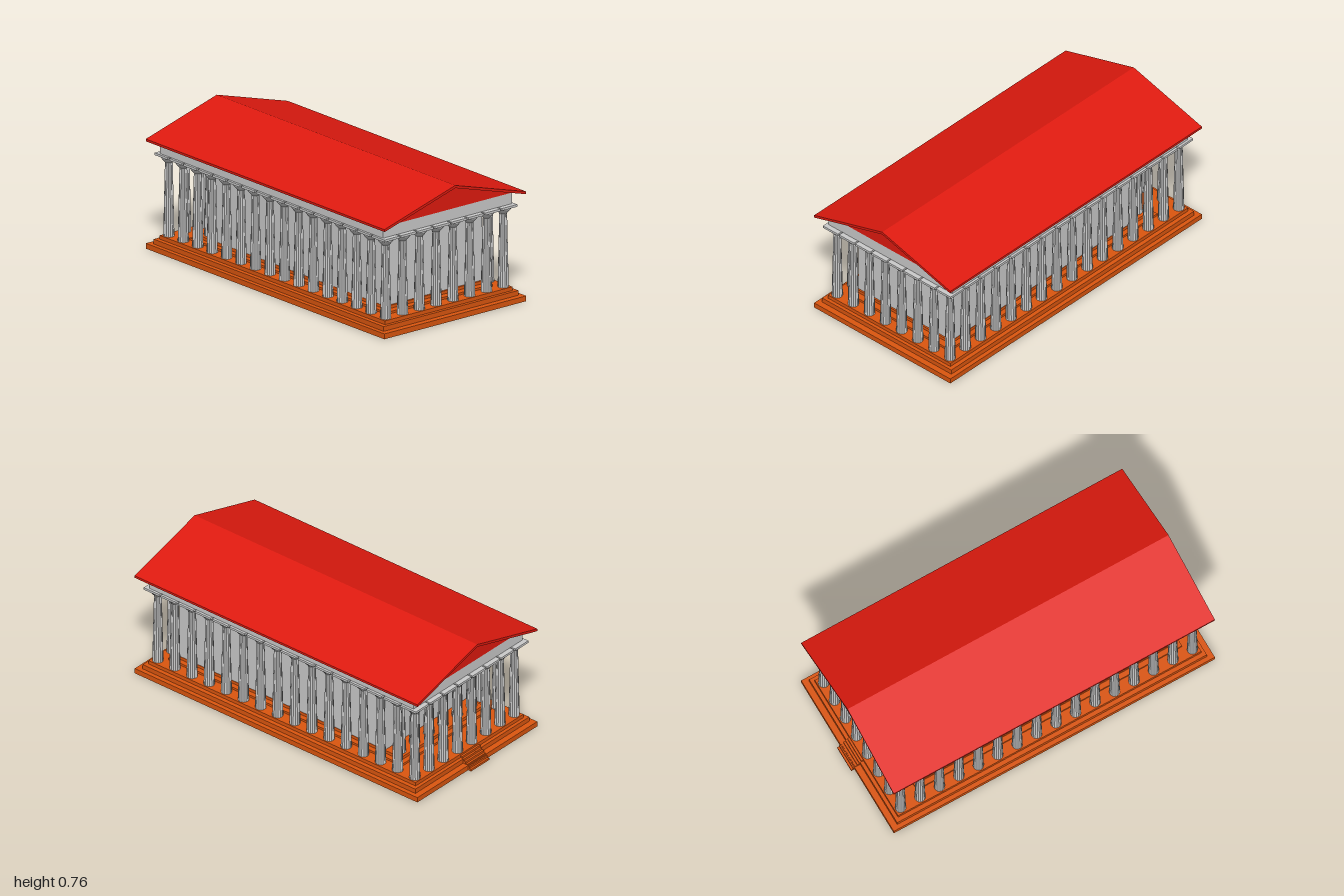
import * as THREE from 'three';

const stone = new THREE.MeshStandardMaterial({ color: 0xcccccc });
const fluted = new THREE.MeshStandardMaterial({ color: 0xcccccc, flatShading: true });
const earth = new THREE.MeshStandardMaterial({ color: 0xdc560f });
const tile = new THREE.MeshStandardMaterial({ color: 0xe01a0f });

const MID = 0.01; // z centre of the temple, the back stair sticks out behind it

// Box given by its limits on each axis
function block(name, material, [x0, x1], [y0, y1], [z0, z1]) {
  const mesh = new THREE.Mesh(new THREE.BoxGeometry(x1 - x0, y1 - y0, z1 - z0), material);
  mesh.name = name;
  mesh.position.set((x0 + x1) / 2, (y0 + y1) / 2, (z0 + z1) / 2);
  return mesh;
}

// Extrude an outline in x/y along z
function prism(name, material, points, z0, z1) {
  const shape = new THREE.Shape(points.map(p => new THREE.Vector2(...p)));
  const geometry = new THREE.ExtrudeGeometry(shape, { depth: z1 - z0, bevelEnabled: false });
  const mesh = new THREE.Mesh(geometry.translate(0, 0, z0), material);
  mesh.name = name;
  return mesh;
}

// Tapered shaft with shallow flutes
function shaftGeometry(height) {
  const geometry = new THREE.CylinderGeometry(0.021, 0.030, height, 32, 3, true);
  const p = geometry.attributes.position;
  for (let i = 0; i < p.count; i++) {
    const angle = Math.atan2(p.getZ(i), p.getX(i));
    const k = 0.97 + 0.03 * Math.cos(angle * 16);
    p.setX(i, p.getX(i) * k);
    p.setZ(i, p.getZ(i) * k);
  }
  return geometry.translate(0, height / 2, 0);
}

const echinus = new THREE.LatheGeometry([
  [0.020, 0], [0.024, 0.004], [0.033, 0.014], [0.042, 0.026], [0.044, 0.033], [0.040, 0.037],
].map(p => new THREE.Vector2(...p)), 16);
const abacus = new THREE.BoxGeometry(0.108, 0.013, 0.108);

// Column maker for one floor and top height
function columnMaker(floor, top) {
  const neck = top - 0.05;
  const shaft = shaftGeometry(neck - floor);
  return (x, z) => {
    const column = new THREE.Group();
    column.name = 'column';
    const add = (name, geometry, y) => {
      const mesh = new THREE.Mesh(geometry, fluted);
      mesh.name = name;
      mesh.position.y = y;
      column.add(mesh);
    };
    add('shaft', shaft, floor);
    add('echinus', echinus, neck);
    add('abacus', abacus, top - 0.0065);
    column.position.set(x, 0, z);
    return column;
  };
}

export function createModel() {
  const temple = new THREE.Group();
  temple.name = 'temple';

  // Stepped platform, then the two steps under the inner chamber
  [
    [0.495, 0, 0.03, -0.98, 1.0],
    [0.47, 0.03, 0.057, -0.945, 0.965],
    [0.445, 0.057, 0.078, -0.925, 0.945],
    [0.37, 0.078, 0.09, -0.765, 0.87],
    [0.34, 0.09, 0.107, -0.735, 0.83],
  ].forEach(([x, y0, y1, z0, z1]) =>
    temple.add(block('platformStep', earth, [-x, x], [y0, y1], [z0, z1])));

  // Small stair at the back
  const STEPS = 6;
  for (let i = 0; i < STEPS; i++) {
    temple.add(block('backStair', earth, [-0.075, 0.075],
      [0, 0.068 - i * 0.0112], [-0.9375 - i * 0.0125, -0.91]));
  }

  // Inner chamber
  temple.add(block('chamber', stone, [-0.338, 0.338], [0.107, 0.605], [-0.62, 0.82]));

  // Colonnade of 8 by 16
  const NX = 8, NZ = 16, X = 0.41, Z = 0.9;
  const outer = columnMaker(0.078, 0.543);
  for (let i = 0; i < NX; i++) {
    for (let j = 0; j < NZ; j++) {
      if (i > 0 && i < NX - 1 && j > 0 && j < NZ - 1) continue;
      temple.add(outer(-X + 2 * X * i / (NX - 1), MID - Z + 2 * Z * j / (NZ - 1)));
    }
  }

  // Porch columns behind the chamber, with their beam
  const inner = columnMaker(0.107, 0.549);
  for (let i = 1; i < NX - 1; i++) temple.add(inner(-X + 2 * X * i / (NX - 1), -0.69));
  temple.add(block('porchBeam', stone, [-0.338, 0.338], [0.549, 0.605], [-0.72, -0.66]));

  // Entablature beams resting on the colonnade
  const EX = 0.45, EZ = 0.925, W = 0.08;
  for (const s of [-1, 1]) {
    const x = s * (EX - W / 2), z = MID + s * (EZ - W / 2);
    temple.add(block('sideBeam', stone, [x - W / 2, x + W / 2], [0.543, 0.605], [MID - EZ, MID + EZ]));
    temple.add(block('endBeam', stone, [-EX + W, EX - W], [0.543, 0.605], [z - W / 2, z + W / 2]));
  }

  // Pediment body with flat ceiling, and the roof slab over it
  temple.add(prism('pediment', tile,
    [[-0.488, 0.605], [0.488, 0.605], [0, 0.745]], MID - EZ, MID + EZ));
  temple.add(prism('roof', tile, [
    [-0.495, 0.605], [-0.488, 0.605], [0, 0.745], [0.488, 0.605],
    [0.495, 0.605], [0.495, 0.618], [0, 0.76], [-0.495, 0.618],
  ], -0.98, 1.0));

  return temple;
}
